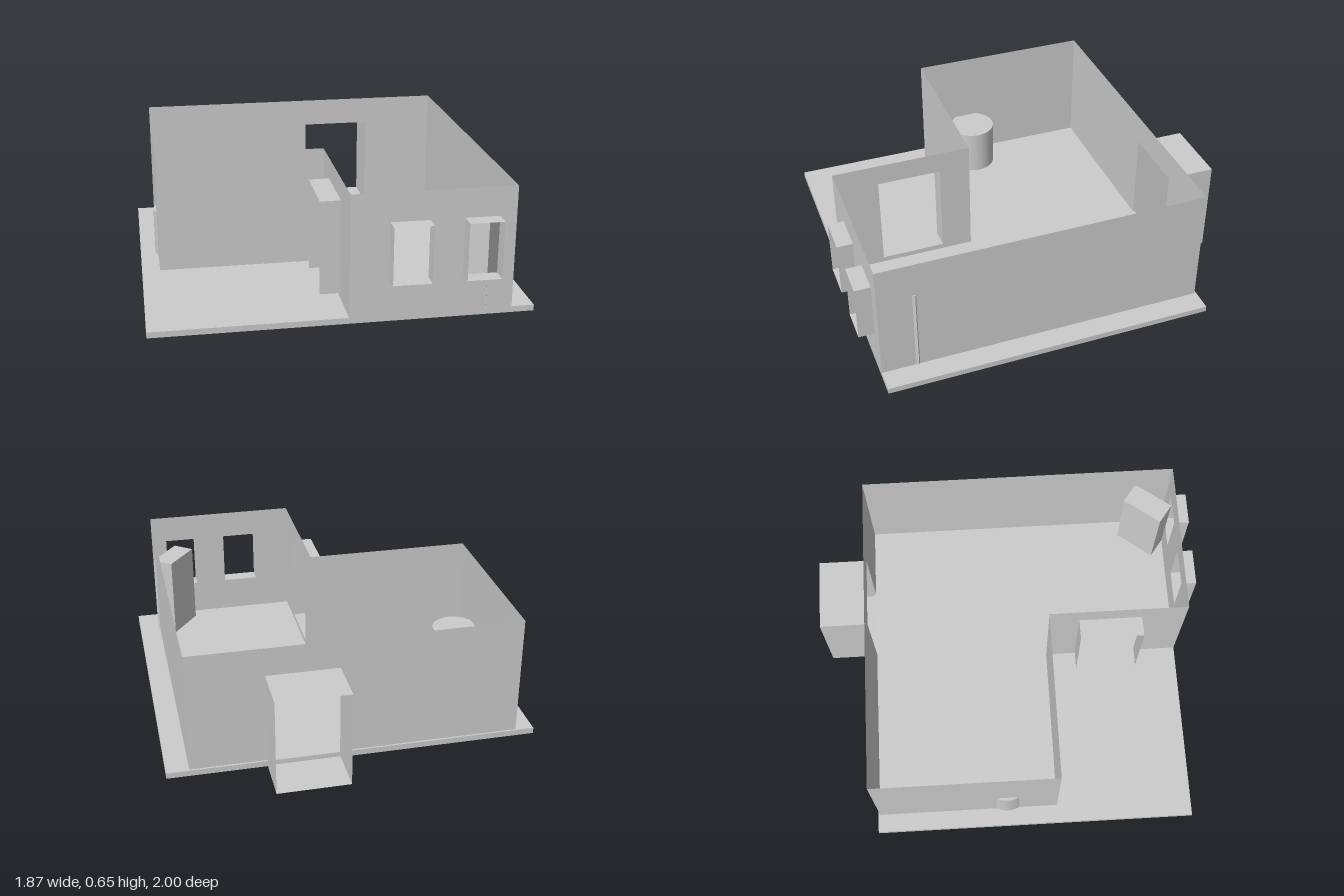
import * as THREE from 'three';
import { mergeGeometries } from 'three/addons/utils/BufferGeometryUtils.js';

const FLOOR = 0.03, TOP = 0.65;
const LEFT = -0.84, RIGHT = 0.82, BACK = -0.75, FRONT = 0.92;
const WING_X = 0.02, NOTCH_Z = 0.2; // inner corner of the L-shaped plan

export function createModel() {
  const house = new THREE.Group();
  house.name = 'house';
  const solid = new THREE.MeshStandardMaterial({ color: 0xcccccc });
  const sheet = new THREE.MeshStandardMaterial({ color: 0xcccccc, side: THREE.DoubleSide });

  function add(name, geometry, material, x, y, z, turn = 0) {
    const mesh = new THREE.Mesh(geometry, material);
    mesh.name = name;
    mesh.position.set(x, y, z);
    mesh.rotation.y = turn;
    house.add(mesh);
  }

  // Thin wall from a to b along x (or along z), with openings [from, to, bottom, top]
  function addWall(name, axis, at, a, b, openings = []) {
    const shape = new THREE.Shape();
    shape.moveTo(a, FLOOR);
    for (const [from, to, bottom, top] of openings) {
      if (bottom <= FLOOR) { // a doorway cuts the lower edge
        shape.lineTo(from, FLOOR);
        shape.lineTo(from, top);
        shape.lineTo(to, top);
        shape.lineTo(to, FLOOR);
      } else {
        const hole = new THREE.Path();
        hole.moveTo(from, bottom);
        hole.lineTo(from, top);
        hole.lineTo(to, top);
        hole.lineTo(to, bottom);
        hole.closePath();
        shape.holes.push(hole);
      }
    }
    shape.lineTo(b, FLOOR);
    shape.lineTo(b, TOP);
    shape.lineTo(a, TOP);
    shape.closePath();
    const geometry = new THREE.ShapeGeometry(shape);
    if (axis === 'x') add(name, geometry, sheet, 0, 0, at);
    else add(name, geometry, sheet, at, 0, 0, -Math.PI / 2);
  }

  // Open rectangular sleeve that sticks out around an opening
  function addFrame(name, axis, [from, to, bottom, top], near, far) {
    const w = to - from, h = top - bottom, d = Math.abs(far - near);
    const geometry = mergeGeometries([-0.5, 0.5].flatMap((s) => [
      new THREE.PlaneGeometry(w, d).rotateX(-Math.PI / 2).translate(0, s * h, 0),
      new THREE.PlaneGeometry(d, h).rotateY(Math.PI / 2).translate(s * w, 0, 0),
    ]));
    const along = (from + to) / 2, across = (near + far) / 2, y = (bottom + top) / 2;
    if (axis === 'x') add(name, geometry, sheet, along, y, across);
    else add(name, geometry, sheet, across, y, along, -Math.PI / 2);
  }

  // Ground slab
  add('floorSlab', new THREE.BoxGeometry(1.866, FLOOR, 1.68), solid, 0, FLOOR / 2, 0.08);

  // Openings
  const door = [0.075, 0.44, 0.005, 0.503];
  const frontWindows = [[0.21, 0.4, 0.215, 0.503], [0.568, 0.737, 0.215, 0.503]];
  const sideWindow = [0.36, 0.69, 0.057, 0.54];

  // Walls around the L-shaped plan
  addWall('backWall', 'x', BACK, LEFT, RIGHT, [door]);
  addWall('rightSideWall', 'z', RIGHT, BACK, FRONT);
  addWall('wingFrontWall', 'x', FRONT, WING_X, RIGHT, frontWindows);
  addWall('wingSideWall', 'z', WING_X, NOTCH_Z, FRONT, [sideWindow]);
  addWall('mainFrontWall', 'x', NOTCH_Z, LEFT, WING_X);
  addWall('leftSideWall', 'z', LEFT, BACK, NOTCH_Z);

  // Projecting door and window surrounds
  addFrame('doorFrame', 'x', door, BACK, -1);
  frontWindows.forEach((w) => addFrame('frontWindowFrame', 'x', w, FRONT, 1));
  addFrame('sideWindowFrame', 'z', sideWindow, WING_X, -0.083);

  // Furniture: tall cabinet set at an angle, and a round table
  add('cabinet', new THREE.BoxGeometry(0.118, 0.44, 0.232), solid,
    0.712, FLOOR + 0.22, 0.793, -Math.atan2(0.072, 0.095));
  add('roundTable', new THREE.CylinderGeometry(0.124, 0.124, 0.245, 48), solid,
    -0.731, FLOOR + 0.1225, -0.065);

  return house;
}
